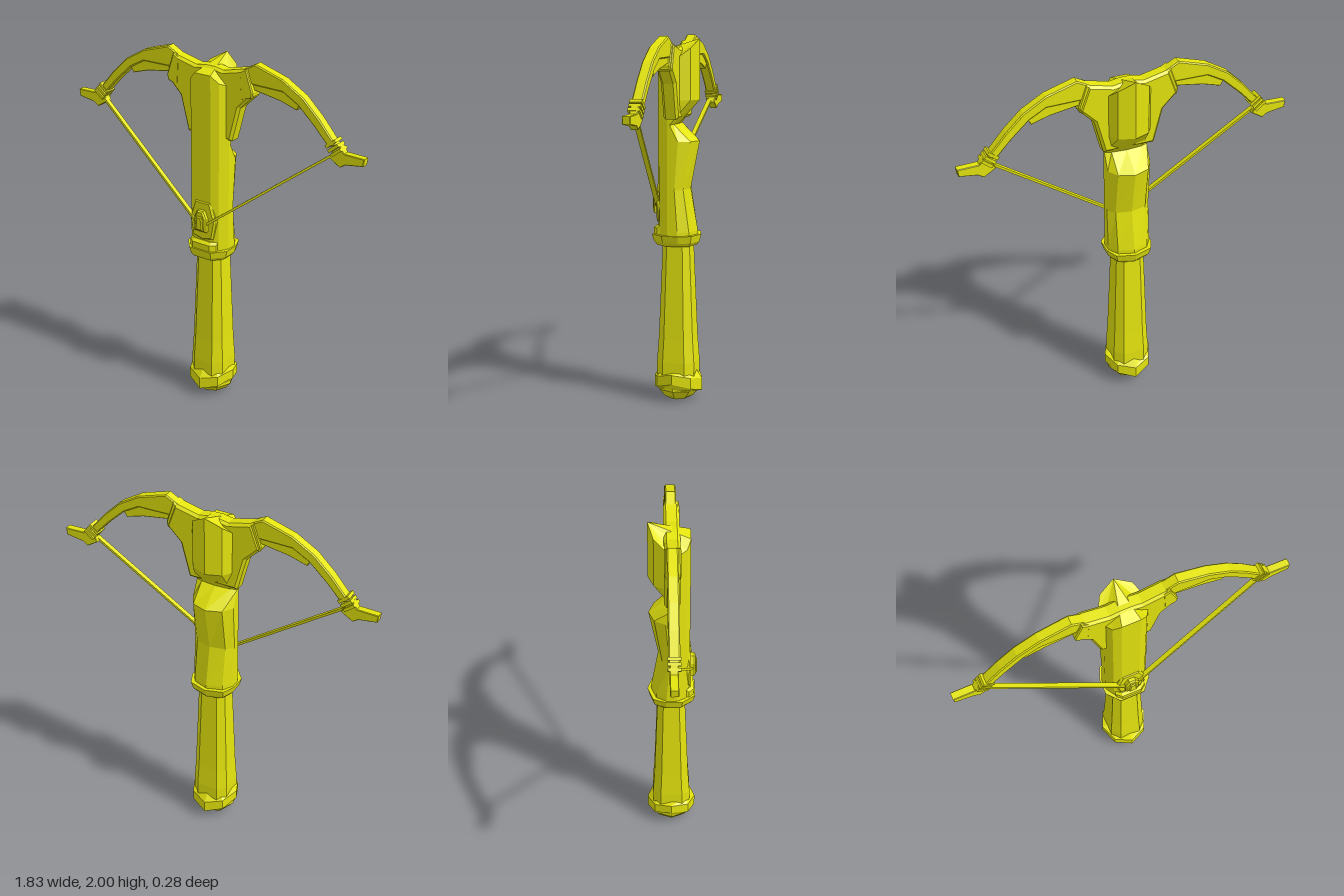
import * as THREE from 'three';

const material = new THREE.MeshStandardMaterial({ color: 0xe4e40e, flatShading: true });

function addMesh(parent, name, geometry) {
  const mesh = new THREE.Mesh(geometry, material);
  mesh.name = name;
  parent.add(mesh);
  return mesh;
}

// Skin a stack of equal-length rings (ordered from bottom to top) and cap both ends
function loft(rings) {
  const n = rings[0].length, index = [], last = (rings.length - 1) * n;
  for (let r = 0; r < rings.length - 1; r++) {
    for (let i = 0; i < n; i++) {
      const a = r * n + i, b = r * n + (i + 1) % n;
      index.push(a, a + n, b, b, a + n, b + n);
    }
  }
  for (let i = 1; i < n - 1; i++) {
    index.push(0, i, i + 1, last, last + i + 1, last + i);
  }
  const g = new THREE.BufferGeometry();
  g.setAttribute('position', new THREE.Float32BufferAttribute(rings.flat(2), 3));
  g.setIndex(index);
  const flat = g.toNonIndexed();
  flat.computeVertexNormals();
  return flat;
}

// Bevelled plate from a side-signed outline, between two depths
function plate(points, z0, z1, bevel, side = 1) {
  const shape = new THREE.Shape(points.map(([x, y]) => new THREE.Vector2(x * side, y)));
  const g = new THREE.ExtrudeGeometry(shape, {
    depth: z1 - z0 - 2 * bevel, bevelEnabled: bevel > 0, bevelSize: bevel,
    bevelThickness: bevel, bevelOffset: -bevel, bevelSegments: 1
  });
  return g.translate(0, 0, z0 + bevel);
}

// Mirrored ring; the half runs from the back ridge round to the front
const mirrorRing = half => [...half, ...half.slice(1).reverse().map(([x, y, z]) => [-x, y, z])];

// Stock section with a ridged back at depth back
const stockRing = (y, back, front = 0.1, drop = [0, 0, 0, 0, 0, 0]) => {
  const at = t => 0.03 + (back - 0.03) * t;
  return mirrorRing([
    [0, at(1)], [0.085, at(0.8)], [0.12, at(0.4)], [0.12, 0.03], [0.09, front - 0.02], [0.05, front]
  ].map(([x, z], i) => [x, y - drop[i], z]));
};

// Octagon with flat sides facing the axes
const octRing = (y, rx, rz, cut = 0.58) => mirrorRing([
  [0, y, -rz], [rx * cut, y, -rz], [rx, y, -rz * cut], [rx, y, rz * cut], [rx * cut, y, rz]
]);

// Octagon with corners on the axes, rising at the sides by wave
const pommelRing = (y, r, wave = 0) => Array.from({ length: 8 }, (_, i) => {
  const a = i * Math.PI / 4;
  return [r * Math.cos(a), y + wave * Math.cos(2 * a), r * Math.sin(a)];
});

export function createModel() {
  const model = new THREE.Group();
  model.name = 'crossbow';

  // Stock with a notched back and a sloping top
  addMesh(model, 'stock', loft([
    stockRing(0.9, -0.11), stockRing(0.95, -0.11), stockRing(1.18, -0.07),
    stockRing(1.44, -0.12), stockRing(1.53, -0.005), stockRing(1.66, -0.12),
    stockRing(1.985, -0.12, 0.1, [0, 0.05, 0.1, 0.13, 0.11, 0.07])
  ]));

  // Collar between stock and handle
  const collarRing = (y, s) => mirrorRing(
    [[0, -0.13], [0.1, -0.1], [0.13, -0.03], [0.13, 0.06], [0.07, 0.13]]
      .map(([x, z]) => [x * s, y, z * s]));
  addMesh(model, 'collar', loft([collarRing(0.87, 0.8), collarRing(0.89, 0.92), collarRing(0.93, 1)]));

  // Handle and pommel
  addMesh(model, 'handle', loft([
    octRing(0.1, 0.105, 0.105), octRing(0.22, 0.105, 0.105), octRing(0.35, 0.098, 0.096), octRing(0.88, 0.08, 0.075)
  ]));
  addMesh(model, 'pommelBand', loft([
    pommelRing(0.06, 0.11), pommelRing(0.08, 0.137, 0.028), pommelRing(0.14, 0.137, 0.02), pommelRing(0.165, 0.105)
  ]));
  addMesh(model, 'pommelCap', loft([
    pommelRing(0, 0.05), pommelRing(0.02, 0.085), pommelRing(0.06, 0.118), pommelRing(0.11, 0.118)
  ]));

  // Ledge and raised bed under the string catch
  addMesh(model, 'ledge', loft([[0.92, 0.122], [0.965, 0.122], [0.98, 0.105]].map(([y, z]) =>
    mirrorRing([[0, y, 0.06], [0.085, y, 0.06], [0.085, y, z - 0.025], [0.055, y, z]]))));
  addMesh(model, 'catchBed', plate([
    [0, 0.98], [0.065, 0.995], [0.085, 1.1], [0.05, 1.21], [-0.05, 1.21], [-0.085, 1.1], [-0.065, 0.995]
  ], 0.06, 0.106, 0.01));

  // String catch: bevelled block with a central tongue
  addMesh(model, 'catchBlock', plate([
    [-0.038, 1.04], [0.038, 1.04], [0.038, 1.12], [0.018, 1.16], [-0.018, 1.16], [-0.038, 1.12]
  ], 0.09, 0.132, 0.008));
  addMesh(model, 'catchTongue', plate([
    [-0.024, 1.05], [0.024, 1.05], [0.016, 1.13], [-0.016, 1.13]
  ], 0.12, 0.14, 0.006));

  // Head plate holding the limbs
  const headHalf = [
    [0.03, 1.945], [0.085, 1.935], [0.22, 1.967], [0.27, 1.83], [0.19, 1.75], [0.14, 1.56], [0.1, 1.56]
  ];
  addMesh(model, 'headPlate', plate(
    [...headHalf, ...headHalf.slice().reverse().map(([x, y]) => [-x, y])], -0.038, 0.045, 0.014));

  for (const side of [1, -1]) {
    const half = new THREE.Group();
    half.name = side > 0 ? 'leftSide' : 'rightSide';
    model.add(half);

    // Curved limb and the strip beneath it
    addMesh(half, 'limb', plate([
      [0.2, 1.96], [0.275, 2], [0.44, 1.95], [0.56, 1.88], [0.655, 1.79], [0.755, 1.675],
      [0.715, 1.655], [0.63, 1.745], [0.53, 1.837], [0.44, 1.887], [0.2, 1.89]
    ], -0.027, 0.03, 0.006, side));
    addMesh(half, 'limbStrip', plate([
      [0.2, 1.9], [0.45, 1.9], [0.54, 1.84], [0.52, 1.805], [0.42, 1.835], [0.2, 1.87]
    ], -0.018, 0.02, 0.003, side));

    // Root bracket between limb and head
    addMesh(half, 'limbRoot', plate([
      [0.19, 1.95], [0.23, 1.972], [0.272, 1.85], [0.265, 1.82], [0.2, 1.8]
    ], -0.032, 0.046, 0.006, side));

    // Binding rings near the limb end
    for (let i = 0; i < 3; i++) {
      const ring = addMesh(half, 'binding', new THREE.BoxGeometry(0.068, 0.017, 0.064));
      ring.position.set(side * (0.728 + i * 0.016), 1.678 - i * 0.02, 0.002);
      ring.rotation.z = side * 0.68;
    }

    // Limb tip
    addMesh(half, 'limbTip', plate([
      [0.735, 1.64], [0.715, 1.6], [0.78, 1.56], [0.81, 1.58], [0.91, 1.595], [0.915, 1.635],
      [0.8, 1.638], [0.775, 1.675]
    ], -0.021, 0.021, 0.003, side));

    // String running back to the catch
    const from = new THREE.Vector3(side * 0.745, 1.625, 0.01);
    const to = new THREE.Vector3(side * 0.02, 1.075, 0.108);
    const string = addMesh(half, 'string', new THREE.BoxGeometry(0.026, 0.013, from.distanceTo(to)));
    const along = to.clone().sub(from).normalize();
    const across = new THREE.Vector3(0, 0, 1).addScaledVector(along, -along.z).normalize();
    string.quaternion.setFromRotationMatrix(new THREE.Matrix4().makeBasis(
      across, along.clone().cross(across), along));
    string.position.copy(from).add(to).multiplyScalar(0.5);
  }
  return model;
}
